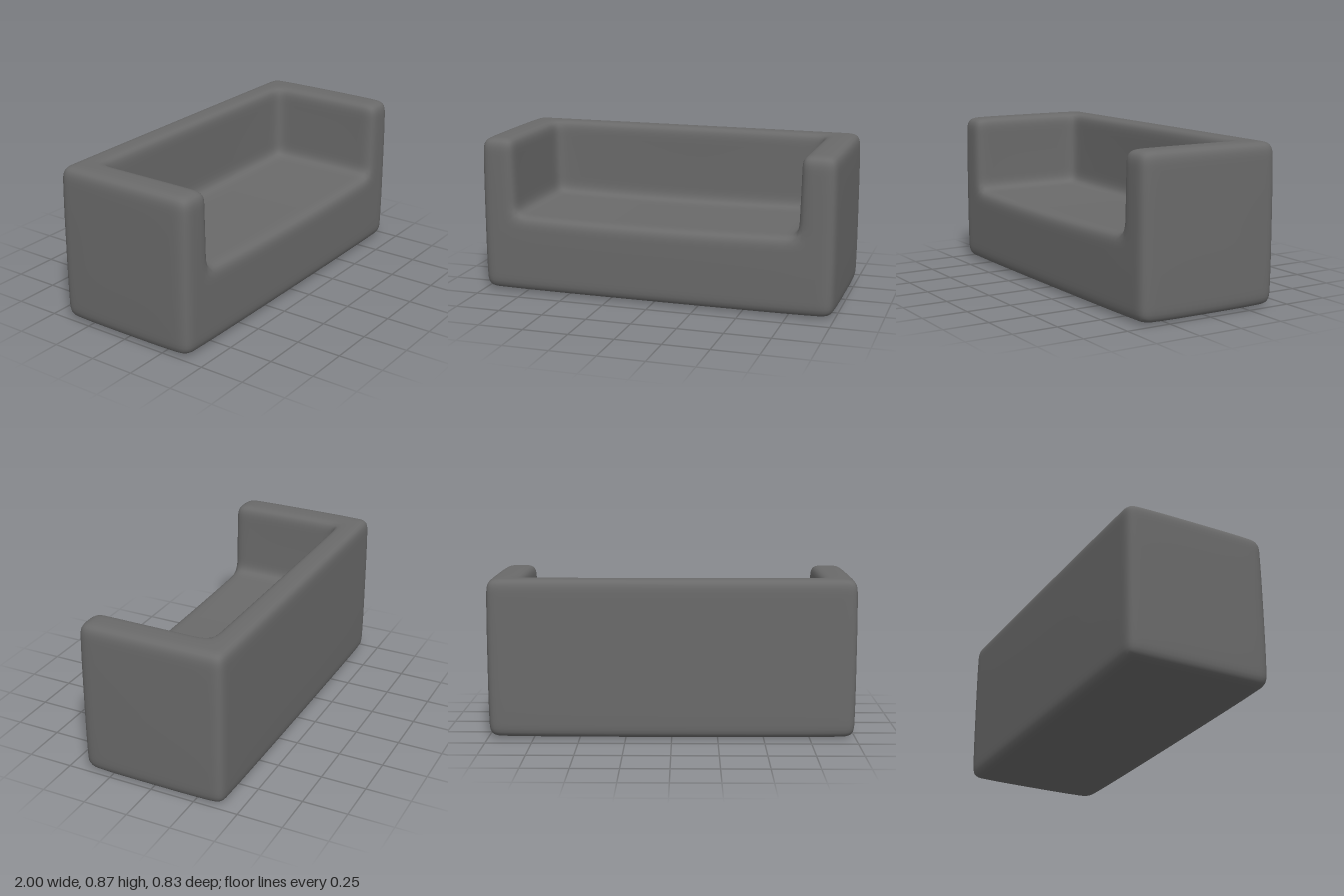
import * as THREE from 'three';

// Grid lines of the block cage; the line spacing near an edge sets its softness
const X = [-1, -0.905, -0.815, -0.71, -0.4, 0, 0.4, 0.71, 0.815, 0.905, 1];
const Y = [0, 0.09, 0.24, 0.34, 0.435, 0.53, 0.65, 0.78, 0.87];
const Z = [-0.415, -0.34, -0.265, -0.16, 0.05, 0.2, 0.31, 0.413];
const lines = [X, Y, Z];

// A cell is solid unless it lies in the seating space between arms and back
function solid(c) {
  if (c.some((i, a) => i < 0 || i >= lines[a].length - 1)) return false;
  const [x, y, z] = c.map((i, a) => (lines[a][i] + lines[a][i + 1]) / 2);
  return !(Math.abs(x) < 0.815 && y > 0.435 && z > -0.265);
}

// Padded look: outer faces bow out, inner walls lean back, the seat sags
function shape(x, y, z) {
  const u = x ** 4, v = ((y - 0.435) / 0.435) ** 4, w = (z / 0.413) ** 4;
  const p = new THREE.Vector3(x * (1 - 0.005 * (v + w)), y, z * (1 - 0.008 * (u + v)));
  if (y < 0.1) p.y += 0.005 * (u + w);
  if (y > 0.7) p.y -= 0.003 * w;
  if (Math.abs(x) < 0.82 && z > -0.27 && y > 0.3 && y < 0.87) {
    const across = (x / 0.815) ** 2;
    const low = Math.min(1, (0.87 - y) / 0.435);
    p.x *= 1 - 0.018 * low;
    if (z < 0) p.z += 0.012 * low * across;
    if (y < 0.5) p.y += 0.014 * across - 0.01;
  }
  return p;
}

// Collect the outer quads of the solid cells
function buildCage() {
  const points = [], faces = [], ids = new Map();
  const vertex = (g) => {
    const key = g.join();
    if (!ids.has(key)) {
      ids.set(key, points.length);
      points.push(shape(X[g[0]], Y[g[1]], Z[g[2]]));
    }
    return ids.get(key);
  };
  for (let i = 0; i < X.length - 1; i++)
    for (let j = 0; j < Y.length - 1; j++)
      for (let k = 0; k < Z.length - 1; k++) {
        const cell = [i, j, k];
        if (!solid(cell)) continue;
        for (let a = 0; a < 3; a++)
          for (const side of [0, 1]) {
            const next = [...cell];
            next[a] += side ? 1 : -1;
            if (solid(next)) continue;
            const b = (a + 1) % 3, c = (a + 2) % 3;
            const quad = [[0, 0], [1, 0], [1, 1], [0, 1]].map(([s, t]) => {
              const g = [...cell];
              g[a] += side;
              g[b] += s;
              g[c] += t;
              return vertex(g);
            });
            faces.push(side ? quad : quad.reverse());
          }
      }
  return { points, faces };
}

// One Catmull-Clark smoothing step on a closed quad mesh
function subdivide({ points, faces }) {
  const V = () => new THREE.Vector3();
  const n = points.length;
  const out = points.map(V);
  const faceSum = points.map(V), midSum = points.map(V), valence = points.map(() => 0);
  const edges = new Map();
  const edgeKey = (a, b) => (a < b ? a * n + b : b * n + a);

  const faceIds = faces.map((f) => {
    const centre = V();
    f.forEach((v) => centre.addScaledVector(points[v], 0.25));
    f.forEach((v, i) => {
      faceSum[v].add(centre);
      valence[v]++;
      const w = f[(i + 1) % 4], key = edgeKey(v, w);
      if (!edges.has(key)) edges.set(key, { v, w, sum: V() });
      edges.get(key).sum.add(centre);
    });
    return out.push(centre) - 1;
  });
  for (const e of edges.values()) {
    const mid = points[e.v].clone().add(points[e.w]).multiplyScalar(0.5);
    midSum[e.v].add(mid);
    midSum[e.w].add(mid);
    e.id = out.push(e.sum.multiplyScalar(0.25).addScaledVector(mid, 0.5)) - 1;
  }
  points.forEach((p, i) => {
    const m = valence[i];
    out[i].copy(p).multiplyScalar((m - 3) / m)
      .addScaledVector(faceSum[i], 1 / (m * m))
      .addScaledVector(midSum[i], 2 / (m * m));
  });
  const quads = faces.flatMap((f, k) => f.map((v, i) => [
    v,
    edges.get(edgeKey(v, f[(i + 1) % 4])).id,
    faceIds[k],
    edges.get(edgeKey(f[(i + 3) % 4], v)).id,
  ]));
  return { points: out, faces: quads };
}

export function createModel() {
  const group = new THREE.Group();
  group.name = 'sofa';

  // Seat, back and arms form one continuous upholstered skin
  const { points, faces } = subdivide(subdivide(buildCage()));
  const geometry = new THREE.BufferGeometry().setFromPoints(points);
  geometry.setIndex(faces.flatMap(([a, b, c, d]) => [a, b, c, a, c, d]));
  geometry.computeVertexNormals();

  const body = new THREE.Mesh(geometry, new THREE.MeshStandardMaterial({ color: 0x6a6a6a }));
  body.name = 'upholsteredBody';
  group.add(body);
  return group;
}
